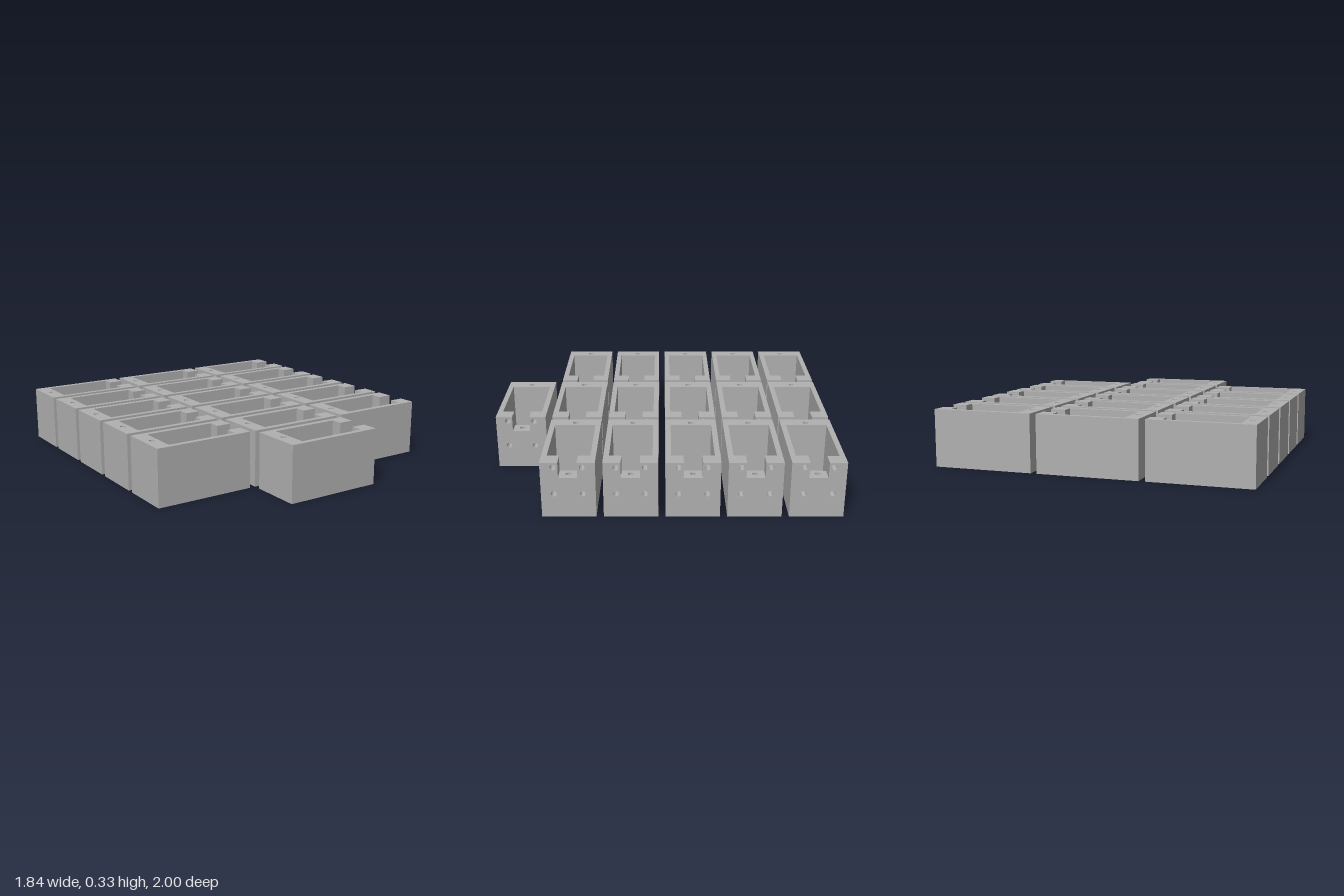
import * as THREE from 'three';
import { mergeGeometries } from 'three/addons/utils/BufferGeometryUtils.js';

// Overall size of one open case, half sizes for x and z
const HX = 0.294, HZ = 0.15, H = 0.33;
// Cavity half sizes, floor thickness, cable slot, screw holes
const CX = 0.207, CZ = 0.119, FLOOR = 0.033;
const SLOT_Z = 0.052, SLOT_Y = 0.238;
const SCREW_R = 0.016, SCREW_X = 0.243;

const polygon = (pts) => new THREE.Shape(pts.map(([a, b]) => new THREE.Vector2(a, b)));
const rect = (x0, y0, x1, y1) => [[x0, y0], [x1, y0], [x1, y1], [x0, y1]];

// Prism whose last `depth` carries round holes [x, y, radius]; the rest is solid
function drilled(pts, holes, total, depth) {
  const holed = polygon(pts);
  for (const [x, y, r] of holes) {
    holed.holes.push(new THREE.Path().absarc(x, y, r, 0, Math.PI * 2, true));
  }
  const extrude = (shape, d) =>
    new THREE.ExtrudeGeometry(shape, { depth: d, bevelEnabled: false, curveSegments: 24 });
  const parts = [extrude(holed, depth).translate(0, 0, total - depth)];
  if (total > depth) parts.push(extrude(polygon(pts), total - depth));
  return mergeGeometries(parts);
}

const upright = (geo, y) => geo.rotateX(-Math.PI / 2).translate(0, y, 0);
const alongX = (geo, x) => geo.rotateY(Math.PI / 2).translate(x, 0, 0);

export function createModel() {
  const model = new THREE.Group();
  model.name = 'caseSet';
  const grey = new THREE.MeshStandardMaterial({ color: 0xb0b0b0 });
  grey.name = 'plainGrey';

  const parts = {};
  // Floor with its large through hole
  parts.floor = upright(drilled(rect(-HX, -HZ, CX, HZ), [[-0.095, 0, 0.05]], FLOOR, FLOOR), 0);

  // Two long walls and the closed end, with a blind screw hole on top
  const uShape = [[-HX, -HZ], [CX, -HZ], [CX, -CZ], [-CX, -CZ],
    [-CX, CZ], [CX, CZ], [CX, HZ], [-HX, HZ]];
  parts.walls = upright(drilled(uShape, [[-SCREW_X, 0, SCREW_R]], H - FLOOR, 0.1), FLOOR);

  // Slotted end: a low block between two posts
  parts.slotBlock = upright(
    drilled(rect(CX, -SLOT_Z, HX, SLOT_Z), [[SCREW_X, 0, SCREW_R]], SLOT_Y, 0.1), 0);
  for (const s of [-1, 1]) {
    const [a, b] = s < 0 ? [-HZ, -SLOT_Z] : [SLOT_Z, HZ];
    const holes = [0.142, 0.301].map((y) => [s * 0.079, y, SCREW_R]);
    parts[s < 0 ? 'endPostFront' : 'endPostBack'] =
      alongX(drilled(rect(a, 0, b, H), holes, HX - CX, 0.07), CX);
  }

  // Three columns of five cases, plus one more in the front middle
  for (let row = 0; row < 6; row++) {
    for (let col = -1; col <= 1; col++) {
      if (row === 5 && col !== 0) continue;
      const box = new THREE.Group();
      box.name = `case_${row + 1}_${col + 2}`;
      for (const [name, geo] of Object.entries(parts)) {
        const mesh = new THREE.Mesh(geo, grey);
        mesh.name = name;
        box.add(mesh);
      }
      box.position.set(col * 0.624, 0, -0.85 + row * 0.34);
      model.add(box);
    }
  }
  return model;
}
